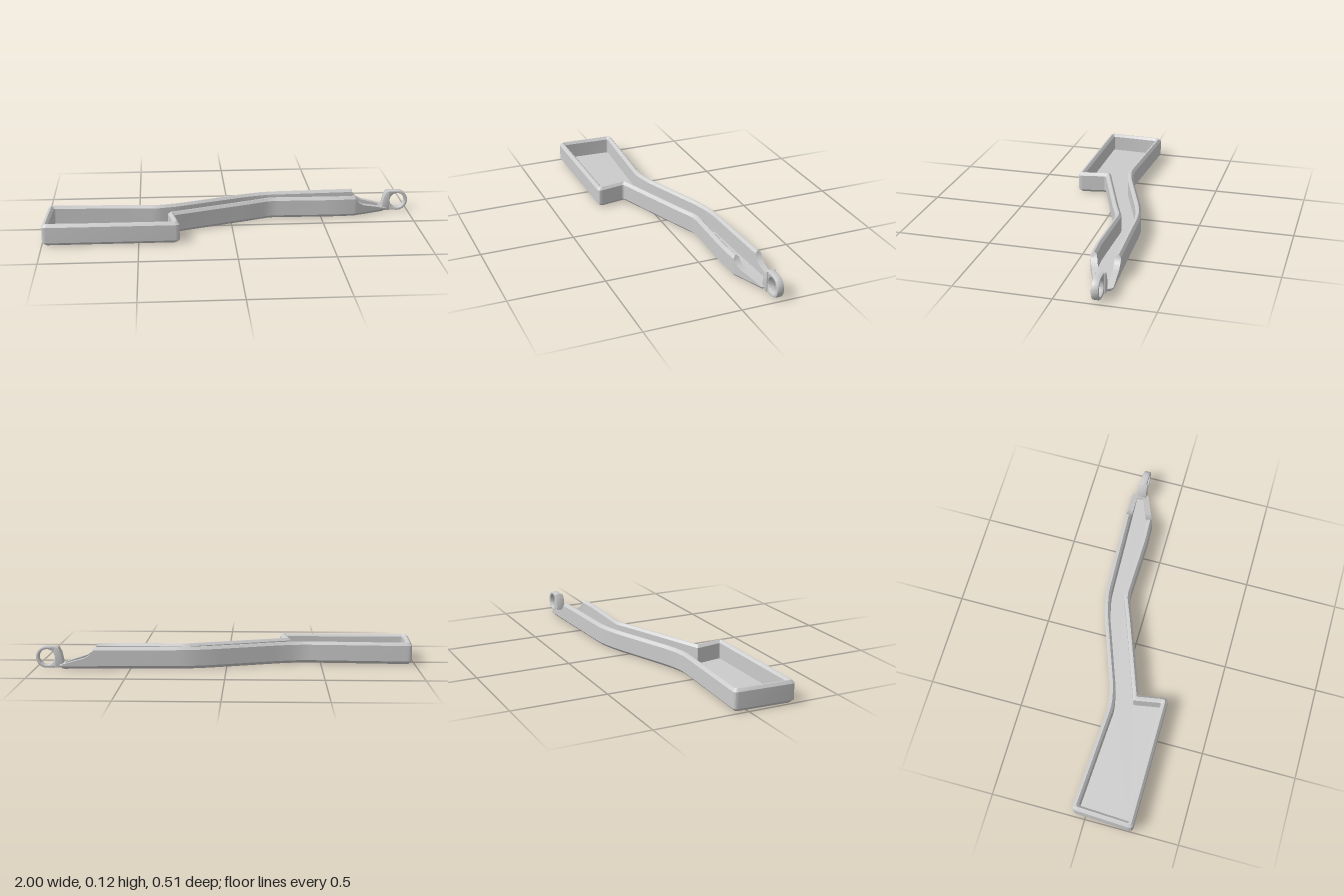
import * as THREE from 'three';
import { toCreasedNormals } from 'three/addons/utils/BufferGeometryUtils.js';

// Plan outline as [x, z, corner radius], starting at the back left
const OUTLINE = [
  [-0.985, -0.072, 0.025], [-0.40, -0.04, 0.05], [-0.30, -0.062, 0.05], [0.08, -0.20, 0.06],
  [0.20, -0.23, 0.06], [0.69, -0.25, 0.004], [0.868, -0.258, 0.02], [0.882, -0.17, 0.02],
  [0.69, -0.096, 0.01], [0.57, -0.09, 0.04], [0.22, -0.098, 0.04], [0.10, -0.05, 0.04],
  [-0.31, 0.10, 0.012], [-0.283, 0.256, 0.025], [-1.0, 0.256, 0.025],
];

// Wall section as [inset, height], from the underside over the rim to the floor
const SECTION = [[0.016, 0], [0, 0.016], [0, 0.1], [0.012, 0.115], [0.019, 0.115], [0.031, 0.102], [0.031, 0.018]];

// Height left by the hollow cut at the narrow end
const CUT = [[0.69, 0.115], [0.697, 0.092], [0.713, 0.073], [0.74, 0.057], [0.8, 0.041], [0.86, 0.024], [0.9, 0.014]];
function cutHeight(x) {
  if (x <= CUT[0][0]) return 1;
  for (let i = 1; i < CUT.length; i++) {
    const [x0, y0] = CUT[i - 1], [x1, y1] = CUT[i];
    if (x <= x1) return y0 + (y1 - y0) * (x - x0) / (x1 - x0);
  }
  return CUT[CUT.length - 1][1];
}

// One inset loop of the outline, with rounded corners and a constant point count
function loopAt(inset) {
  const pts = OUTLINE.map(([x, z]) => new THREE.Vector2(x, z));
  const n = pts.length;
  const inward = (a, b) => {
    const d = b.clone().sub(a).normalize();
    return new THREE.Vector2(-d.y, d.x);
  };
  const corners = pts.map((p, i) => {
    const n0 = inward(pts[(i + n - 1) % n], p), n1 = inward(p, pts[(i + 1) % n]);
    return p.clone().addScaledVector(n0.clone().add(n1), inset / (1 + n0.dot(n1)));
  });
  const toward = (a, b, d) => a.clone().addScaledVector(b.clone().sub(a).normalize(), d);
  const loop = [];
  corners.forEach((c, i) => {
    const r = Math.max(0.003, OUTLINE[i][2] - inset * 0.5);
    const next = corners[(i + 1) % n];
    const rNext = Math.max(0.003, OUTLINE[(i + 1) % n][2] - inset * 0.5);
    const start = toward(c, corners[(i + n - 1) % n], r), end = toward(c, next, r);
    loop.push(...new THREE.QuadraticBezierCurve(start, c, end).getPoints(5));
    // fine steps along the edges that the hollow cut crosses
    const steps = i >= 5 && i <= 7 ? 28 : 1;
    const stop = toward(next, c, rNext);
    for (let s = 1; s < steps; s++) loop.push(end.clone().lerp(stop, s / steps));
  });
  return loop;
}

function trayGeometry() {
  const rings = SECTION.map(([inset, y]) =>
    loopAt(inset).map((p) => new THREE.Vector3(p.x, Math.min(y, cutHeight(p.x)), p.y)));
  const out = [];
  const tri = (...vs) => vs.forEach((v) => out.push(v.x, v.y, v.z));
  const n = rings[0].length;
  for (let k = 0; k < rings.length - 1; k++) {
    for (let i = 0; i < n; i++) {
      const j = (i + 1) % n, lo = rings[k], hi = rings[k + 1];
      tri(lo[i], hi[i], lo[j]);
      tri(lo[j], hi[i], hi[j]);
    }
  }
  // underside and tray floor
  const cap = (ring, up) => {
    const flat = ring.map((v) => new THREE.Vector2(v.x, v.z));
    for (const [a, b, c] of THREE.ShapeUtils.triangulateShape(flat, [])) {
      const facesUp = THREE.ShapeUtils.area([flat[a], flat[b], flat[c]]) < 0;
      if (facesUp === up) tri(ring[a], ring[b], ring[c]);
      else tri(ring[a], ring[c], ring[b]);
    }
  };
  cap(rings[0], false);
  cap(rings[rings.length - 1], true);
  const g = new THREE.BufferGeometry();
  g.setAttribute('position', new THREE.Float32BufferAttribute(out, 3));
  return toCreasedNormals(g, 0.35);
}

// Extrudes a side-on shape, centred on the eyelet's plane
function sidePlate(shape, width, bevel) {
  const g = new THREE.ExtrudeGeometry(shape, {
    depth: width - 2 * bevel, bevelEnabled: true, bevelSize: bevel, bevelThickness: bevel,
    bevelOffset: -bevel, bevelSegments: 2, curveSegments: 32,
  });
  g.translate(0, 0, -0.203 - width / 2 + bevel);
  return toCreasedNormals(g, 0.5);
}

export function createModel() {
  const group = new THREE.Group();
  const material = new THREE.MeshStandardMaterial({ color: 0xcccccc });
  const add = (name, geometry) => {
    const mesh = new THREE.Mesh(geometry, material);
    mesh.name = name;
    group.add(mesh);
  };

  add('tray', trayGeometry());

  // Eyelet: round ring with a straight root
  const cx = 0.942, cy = 0.058, r = 0.058;
  const eye = new THREE.Shape();
  eye.moveTo(0.862, 0.004);
  eye.lineTo(cx, cy - r);
  eye.absarc(cx, cy, r, -Math.PI / 2, Math.PI / 2, false);
  eye.lineTo(0.885, 0.115);
  eye.lineTo(0.862, 0.06);
  const hole = new THREE.Path();
  hole.absarc(cx, cy, 0.041, 0, Math.PI * 2, true);
  eye.holes.push(hole);
  add('eyelet', sidePlate(eye, 0.038, 0.007));

  // Wider block joining the eyelet to the tray
  const neck = new THREE.Shape([
    [0.856, 0.004], [0.898, 0.004], [0.898, 0.112], [0.88, 0.112], [0.866, 0.085], [0.856, 0.04],
  ].map(([x, y]) => new THREE.Vector2(x, y)));
  add('eyeletNeck', sidePlate(neck, 0.05, 0.003));

  return group;
}
